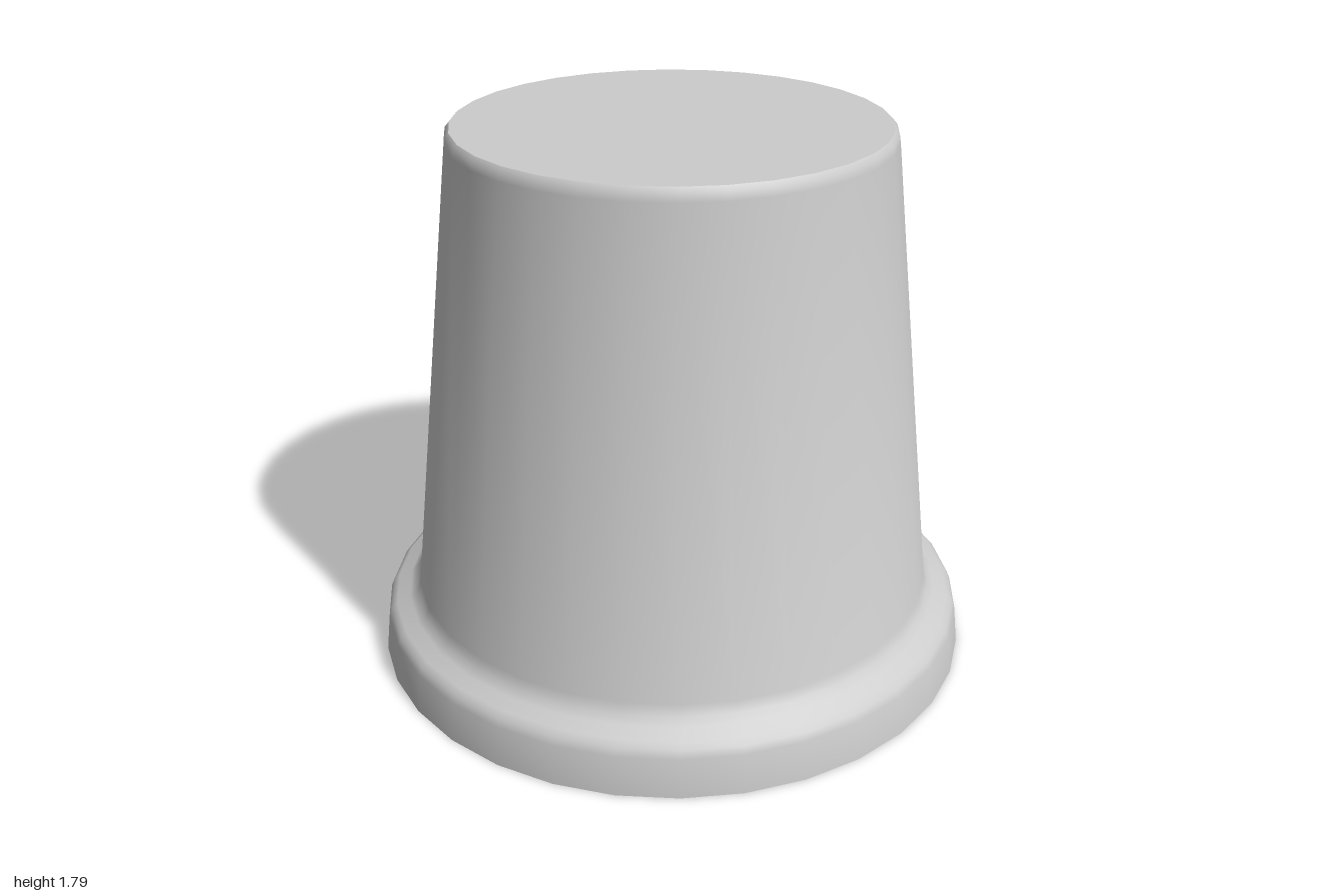
import * as THREE from 'three';
import { toCreasedNormals } from 'three/addons/utils/BufferGeometryUtils.js';

export function createModel() {
  const group = new THREE.Group();
  group.name = 'upturnedCup';
  const material = new THREE.MeshStandardMaterial({ color: 0xcccccc });

  // Cross-section [radius, height]: down the hollow, round the rim, up the outside
  const inside = [
    [0, 1.71], [0.61, 1.71], [0.625, 1.69], [0.79, 0.2], [0.81, 0.16],
    [0.87, 0.125], [0.885, 0.1], [0.9, 0],
  ];
  const rim = [
    [1, 0], [0.985, 0.13], [0.975, 0.155], [0.955, 0.172],
    [0.91, 0.19], [0.888, 0.21], [0.873, 0.245],
  ];
  const wallAndBase = [
    [0.702, 1.75], [0.698, 1.775], [0.685, 1.79], [0, 1.79],
  ];
  const profile = [...inside, ...rim, ...wallAndBase].map(([r, y]) => new THREE.Vector2(r, y));

  // Closed cup shell, open at the bottom
  const shell = toCreasedNormals(new THREE.LatheGeometry(profile, 32), Math.PI / 5);
  const cup = new THREE.Mesh(shell, material);
  cup.name = 'cupShell';
  group.add(cup);
  return group;
}
